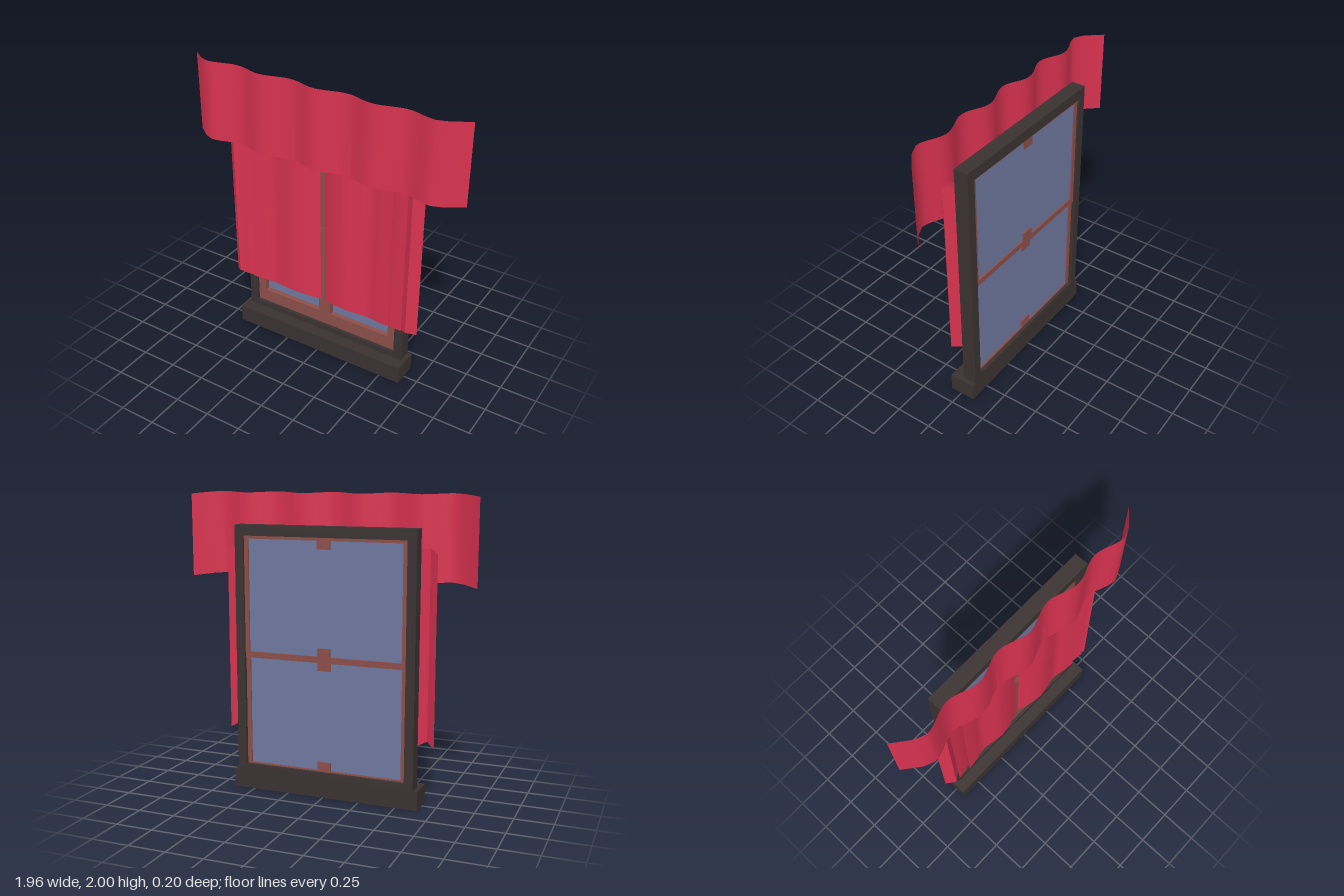
import * as THREE from 'three';
import { toCreasedNormals } from 'three/addons/utils/BufferGeometryUtils.js';

const material = (color, side = THREE.FrontSide) => new THREE.MeshStandardMaterial({ color, side });

function addMesh(parent, name, geometry, mat, x = 0, y = 0, z = 0) {
  const mesh = new THREE.Mesh(geometry, mat);
  mesh.name = name;
  mesh.position.set(x, y, z);
  parent.add(mesh);
  return mesh;
}

// Box given by its extents
function addBox(parent, name, mat, [x0, x1], [y0, y1], [z0, z1]) {
  const geometry = new THREE.BoxGeometry(x1 - x0, y1 - y0, z1 - z0);
  return addMesh(parent, name, geometry, mat, (x0 + x1) / 2, (y0 + y1) / 2, (z0 + z1) / 2);
}

// Rectangular border, symmetric in x, between an outer and an inner rectangle
function borderGeometry(outer, inner, depth) {
  const corners = ([w, y0, y1]) => [[-w, y0], [w, y0], [w, y1], [-w, y1]].map(p => new THREE.Vector2(...p));
  const shape = new THREE.Shape(corners(outer));
  shape.holes.push(new THREE.Path(corners(inner).reverse()));
  return new THREE.ExtrudeGeometry(shape, { depth, bevelEnabled: false });
}

// Hanging cloth: a (x, z) outline swept from y0 to y1, its hems rising towards the front
function clothGeometry(outline, y0, y1, rise) {
  const positions = [];
  const indices = [];
  outline.forEach(({ x, y: z }, i) => {
    positions.push(x, y0 + rise * z, z, x, y1 + rise * z, z);
    if (i > 0) {
      const a = 2 * (i - 1);
      indices.push(a, a + 2, a + 3, a, a + 3, a + 1);
    }
  });
  const geometry = new THREE.BufferGeometry();
  geometry.setAttribute('position', new THREE.Float32BufferAttribute(positions, 3));
  geometry.setIndex(indices);
  return toCreasedNormals(geometry, 0.7);
}

const toVectors = points => points.map(([x, z]) => new THREE.Vector2(x, z));

export function createModel() {
  const model = new THREE.Group();
  model.name = 'curtainedWindow';
  const frameMat = material(0x3a3231);
  const sashMat = material(0x8c4e49);
  const glassMat = material(0x6e789f, THREE.DoubleSide);
  const clothMat = material(0xd8324f, THREE.DoubleSide);

  // Sill and outer frame
  addBox(model, 'sill', frameMat, [-0.65, 0.65], [0, 0.125], [-0.1, 0.08]);
  addMesh(model, 'outerFrame', borderGeometry([0.62, 0.12, 1.79], [0.56, 0.17, 1.72], 0.097),
    frameMat, 0, 0, -0.1);

  // Two sashes, the lower one set slightly further forward
  const sashes = [
    { name: 'lowerSash', y0: 0.14, y1: 0.95, bottom: 0.265, top: 0.88, z: -0.07 },
    { name: 'upperSash', y0: 0.91, y1: 1.74, bottom: 0.98, top: 1.65, z: -0.08 },
  ];
  for (const { name, y0, y1, bottom, top, z } of sashes) {
    const sash = new THREE.Group();
    sash.name = name;
    model.add(sash);

    // Wide front border and slim back border hold the pane between them
    const lip = [0.53, y0 + 0.04, y1 - 0.04];
    addMesh(sash, 'frontBorder', borderGeometry([0.575, y0, y1], [0.5, bottom, top], 0.035),
      sashMat, 0, 0, z + 0.012);
    addMesh(sash, 'backBorder', borderGeometry([0.575, y0, y1], lip, 0.018), sashMat, 0, 0, z - 0.006);
    addBox(sash, 'glass', glassMat, [-0.54, 0.54], [y0 + 0.03, y1 - 0.03], [z + 0.004, z + 0.01]);

    // Centre bar in front, with short stubs behind the glass
    addBox(sash, 'centreBar', sashMat, [-0.045, 0.045], [bottom - 0.05, top + 0.05], [z + 0.01, z + 0.05]);
    for (const y of [lip[1] + 0.025, lip[2] - 0.025]) {
      addBox(sash, 'barStub', sashMat, [-0.045, 0.045], [y - 0.03, y + 0.03], [z - 0.006, z + 0.005]);
    }
  }

  // Curtains: soft waves near the middle, overlapping pleats at the outer edge
  const waves = new THREE.SplineCurve(toVectors([
    [0.017, 0], [0.1, 0.035], [0.2, 0.052], [0.29, 0.038], [0.37, 0.022], [0.45, 0.042], [0.535, 0.055],
  ])).getPoints(24);
  const pleats = toVectors([[0.475, 0.002], [0.555, 0.04], [0.635, 0.053], [0.6, 0.003], [0.665, 0.053], [0.725, 0]]);
  const leftOutline = [...waves, ...pleats];
  const rightOutline = leftOutline.map(p => new THREE.Vector2(-p.x, p.y)).reverse();
  addMesh(model, 'leftCurtain', clothGeometry(leftOutline, 0.39, 1.635, 0.55), clothMat);
  addMesh(model, 'rightCurtain', clothGeometry(rightOutline, 0.39, 1.635, 0.55), clothMat);

  // Valance: five shallow waves with ends turned back to the wall
  const valance = toVectors([[-0.98, -0.02], [-0.87, 0.072]]);
  for (let i = 0; i <= 48; i++) {
    const x = -0.8 + i / 30;
    valance.push(new THREE.Vector2(x, 0.075 + 0.027 * Math.cos(5 * Math.PI * x)));
  }
  valance.push(...toVectors([[0.87, 0.072], [0.98, -0.02]]));
  addMesh(model, 'valance', clothGeometry(valance, 1.437, 1.987, 0.13), clothMat);

  return model;
}
